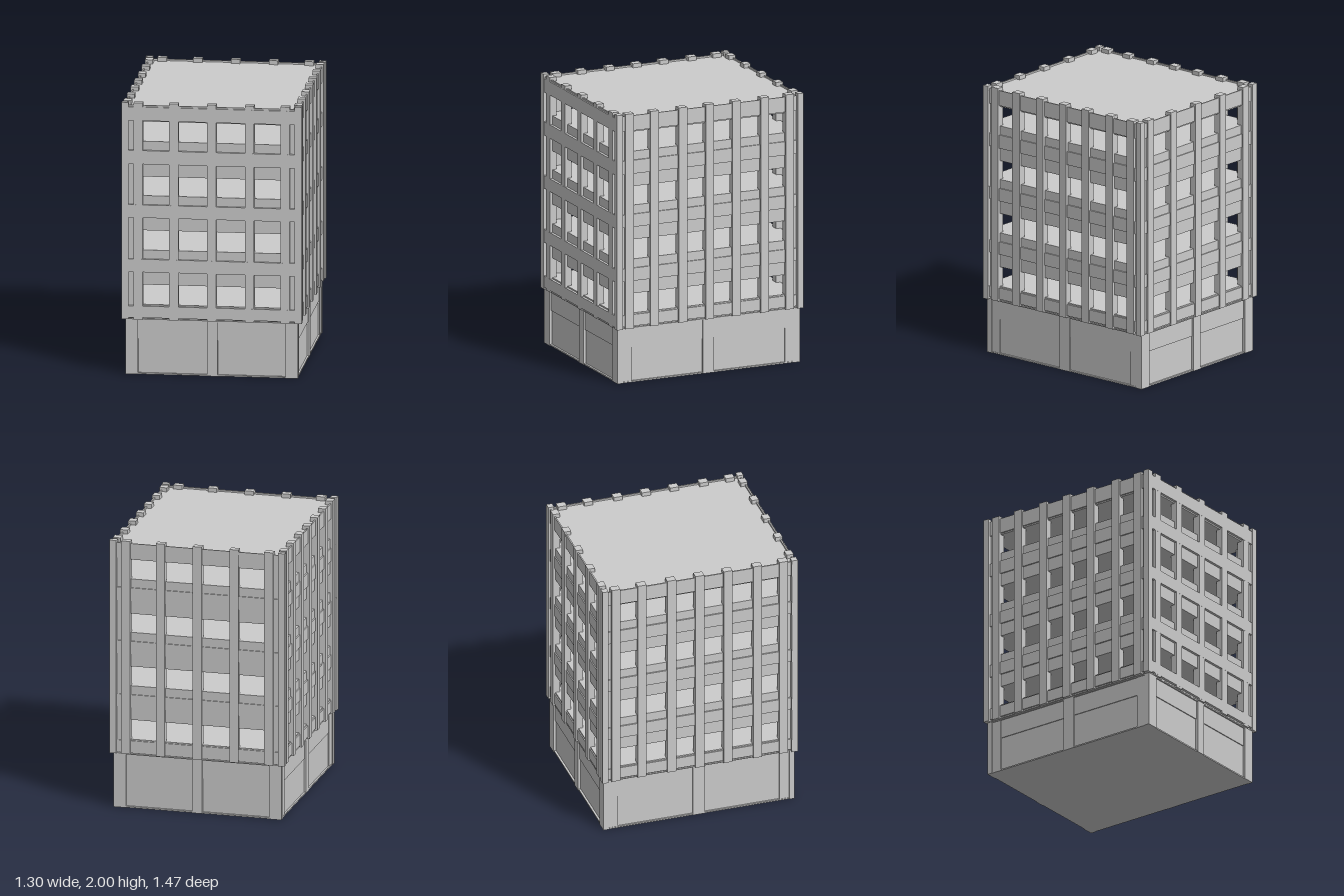
import * as THREE from 'three';

const material = new THREE.MeshStandardMaterial({ color: 0xcccccc, flatShading: true });

export function createModel() {
  const building = new THREE.Group();
  building.name = 'building';

  const group = (name) => {
    const g = new THREE.Group();
    g.name = name;
    building.add(g);
    return g;
  };
  // Box given by its min and max on each axis
  const box = (parent, name, x0, x1, y0, y1, z0, z1) => {
    const mesh = new THREE.Mesh(new THREE.BoxGeometry(x1 - x0, y1 - y0, z1 - z0), material);
    mesh.position.set((x0 + x1) / 2, (y0 + y1) / 2, (z0 + z1) / 2);
    mesh.name = name;
    parent.add(mesh);
  };
  // Box centred on the vertical axis
  const slab = (parent, name, hx, hz, y0, y1) => box(parent, name, -hx, hx, y0, y1, -hz, hz);
  // Box centred on a plan position
  const post = (parent, name, x, z, w, d, y0, y1) =>
    box(parent, name, x - w / 2, x + w / 2, y0, y1, z - d / 2, z + d / 2);

  // Ground storey: recessed panels, overhanging lintels and pilasters
  const base = group('base');
  slab(base, 'basePlinth', 0.618, 0.715, 0, 0.01);
  slab(base, 'basePanels', 0.605, 0.7, 0.01, 0.26);
  slab(base, 'baseLintel', 0.611, 0.707, 0.26, 0.398);
  slab(base, 'baseCap', 0.62, 0.717, 0.398, 0.406);
  for (const s of [-1, 1]) {
    post(base, 'centrePilaster', 0.003, s * 0.69, 0.076, 0.06, 0, 0.405);
    post(base, 'sidePilaster', s * 0.59, 0, 0.06, 0.09, 0, 0.405);
    for (const t of [-1, 1]) {
      post(base, 'cornerPier', s * 0.577, t * 0.7, 0.09, 0.04, 0, 0.405);
      post(base, 'cornerPost', s * 0.602, t * 0.7, 0.04, 0.04, 0, 0.405);
      post(base, 'sidePier', s * 0.592, t * 0.645, 0.046, 0.075, 0, 0.405);
    }
  }

  // Floor slabs between the window rows, each with a raised string course
  const floors = group('floors');
  const levels = [ // slab bottom, slab top, course bottom, course top
    [0.41, 0.515, 0.42, 0.505],
    [0.66, 0.915, 0.755, 0.85],
    [1.06, 1.315, 1.155, 1.25],
    [1.455, 1.715, 1.55, 1.65],
    [1.86, 1.97, 1.87, 1.97],
  ];
  for (const [y0, y1, c0, c1] of levels) {
    slab(floors, 'floorSlab', 0.622, 0.714, y0, y1);
    slab(floors, 'stringCourse', 0.632, 0.722, c0, c1);
    // Front course lies flush with the columns
    box(floors, 'frontCourse', -0.648, 0.648, c0, c1, 0.69, 0.7335);
  }

  // Low parapet around the roof
  const parapet = group('parapet');
  for (const s of [-1, 1]) {
    post(parapet, 'parapetRail', 0, s * 0.718, 1.26, 0.01, 1.96, 1.982);
    post(parapet, 'parapetRail', s * 0.627, 0, 0.01, 1.44, 1.96, 1.982);
  }

  // Full height columns on all four faces
  const columns = group('columns');
  for (const s of [-1, 1]) {
    for (const x of [-0.53, -0.273, 0, 0.273, 0.53])
      post(columns, 'facadeColumn', x, s * 0.707, 0.066, 0.052, 0.406, 2);
    for (const z of [-0.632, -0.435, -0.212, 0, 0.212, 0.435, 0.632])
      post(columns, 'sideColumn', s * 0.616, z, 0.056, 0.066, 0.406, 2);
    for (const t of [-1, 1]) {
      post(columns, 'cornerColumn', s * 0.625, t * 0.713, 0.05, 0.044, 0.406, 2);
      post(columns, 'cornerWall', s * 0.591, t * 0.686, 0.062, 0.056, 0.41, 1.97);
    }
  }
  return building;
}
